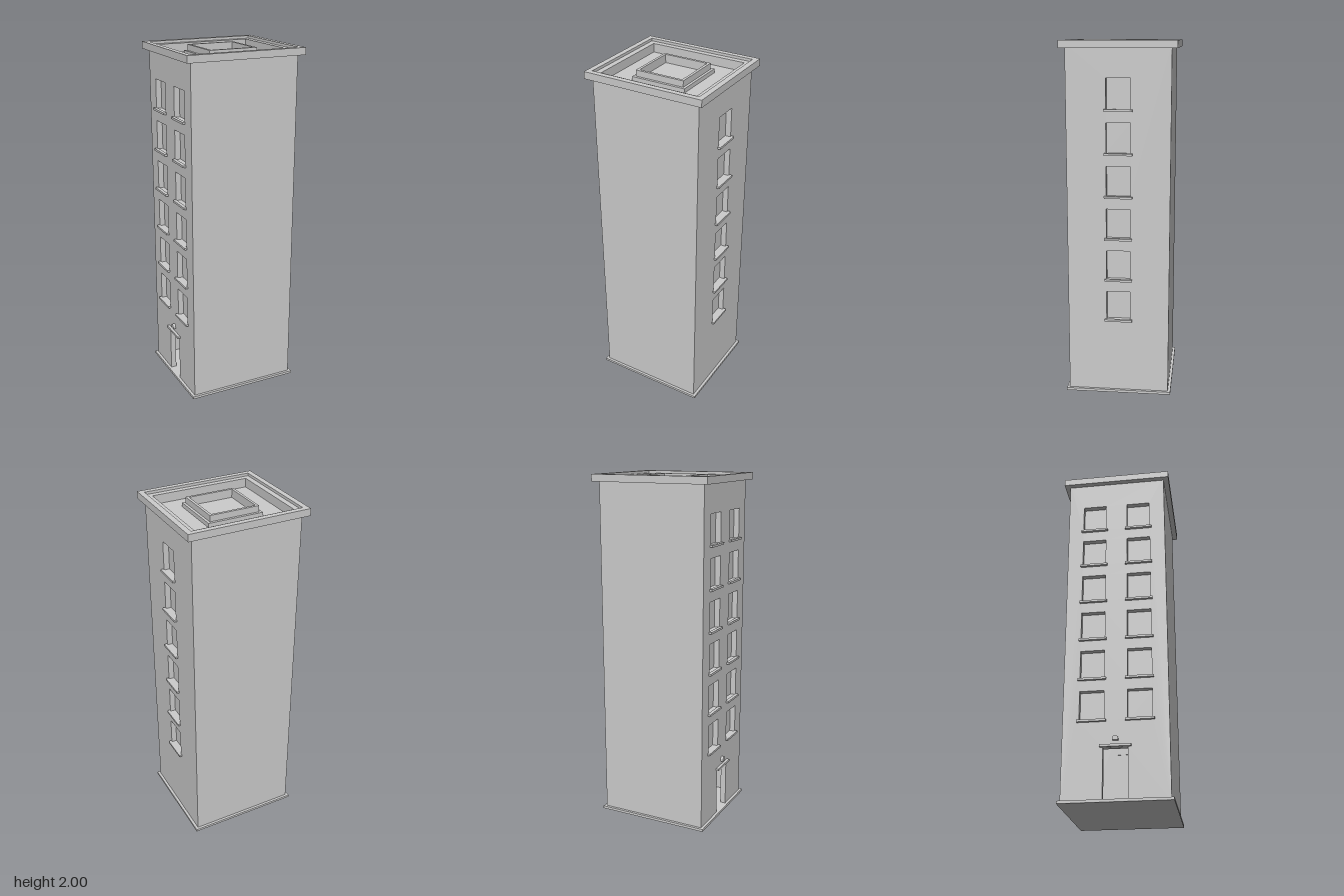
import * as THREE from 'three';

const HX = 0.317, HZ = 0.286, T = 0.032;   // wall half-sizes and thickness
const WALL_TOP = 1.985, BASE_TOP = 0.015;
const FLOORS = 6, FIRST = 0.442, PITCH = 0.2385, WIN_W = 0.134, WIN_H = 0.168;
const grey = new THREE.MeshStandardMaterial({ color: 0xcccccc, flatShading: true });

function add(parent, name, geo, x = 0, y = 0, z = 0) {
  const m = new THREE.Mesh(geo, grey);
  m.name = name;
  m.position.set(x, y, z);
  parent.add(m);
  return m;
}

// box given by its centre in x and z and its lower and upper heights
function block(parent, name, w, d, y0, y1, x = 0, z = 0) {
  return add(parent, name, new THREE.BoxGeometry(w, y1 - y0, d), x, (y0 + y1) / 2, z);
}

function rect(Type, x0, y0, x1, y1) {
  const p = new Type();
  p.moveTo(x0, y0);
  p.lineTo(x1, y0);
  p.lineTo(x1, y1);
  p.lineTo(x0, y1);
  p.closePath();
  return p;
}

// rectangular frame lying flat, from outer and inner half-sizes
function ring(parent, name, ox, oz, ix, iz, y0, y1) {
  const s = rect(THREE.Shape, -ox, -oz, ox, oz);
  s.holes.push(rect(THREE.Path, -ix, -iz, ix, iz));
  const g = new THREE.ExtrudeGeometry(s, { depth: y1 - y0, bevelEnabled: false });
  g.rotateX(-Math.PI / 2);
  return add(parent, name, g, 0, y0, 0);
}

// side wall with window columns; local z points outward, z = 0 is the outer face
function sideWall(name, columns, hasDoor) {
  const side = new THREE.Group();
  side.name = name;
  const s = rect(THREE.Shape, -HZ, 0, HZ, WALL_TOP);
  for (const u of columns) {
    for (let i = 0; i < FLOORS; i++) {
      const y = FIRST + i * PITCH;
      s.holes.push(rect(THREE.Path, u - WIN_W / 2, y, u + WIN_W / 2, y + WIN_H));
      block(side, 'windowPane', WIN_W + 0.02, 0.006, y - 0.01, y + WIN_H + 0.01, u, -T - 0.003);
      block(side, 'windowSill', 0.156, 0.02, y - 0.009, y + 0.003, u, 0.006);
    }
  }
  if (hasDoor) {
    s.holes.push(rect(THREE.Path, -0.067, BASE_TOP, 0.067, 0.29));
    block(side, 'doorCanopy', 0.166, 0.02, 0.291, 0.304, 0, 0.006);
    // round-topped lamp above the door
    const lamp = new THREE.Shape();
    lamp.moveTo(-0.015, 0);
    lamp.lineTo(0.015, 0);
    lamp.lineTo(0.015, 0.011);
    lamp.absarc(0, 0.011, 0.015, 0, Math.PI, false);
    lamp.closePath();
    const lampGeo = new THREE.ExtrudeGeometry(lamp, { depth: 0.016, bevelEnabled: false, curveSegments: 6 });
    add(side, 'doorLamp', lampGeo, 0, 0.325, 0);
  }
  add(side, 'wall', new THREE.ExtrudeGeometry(s, { depth: T, bevelEnabled: false }), 0, 0, -T);
  return side;
}

export function createModel() {
  const model = new THREE.Group();
  model.name = 'apartmentTower';

  // foundation, which is also the ground floor inside
  block(model, 'basePlate', 0.666, 0.602, 0, BASE_TOP);

  // plain front and back walls
  for (const s of [1, -1]) {
    block(model, s > 0 ? 'frontWall' : 'backWall', 2 * (HX - T), T, 0, WALL_TOP, 0, s * (HZ - T / 2));
  }

  // window walls
  const left = sideWall('leftWindowWall', [0], false);
  left.rotation.y = Math.PI / 2;
  left.position.x = HX;
  const right = sideWall('rightEntranceWall', [-0.13, 0.13], true);
  right.rotation.y = -Math.PI / 2;
  right.position.x = -HX;
  model.add(left, right);

  // roof with cornice
  block(model, 'roofSlab', 2 * (HX - T), 2 * (HZ - T), 1.9, 1.935);
  ring(model, 'cornice', 0.348, 0.317, HX, HZ, 1.96, 2);

  // roof hatch: low plinth and raised rim round a sunken top
  ring(model, 'hatchPlinth', 0.158, 0.158, 0.128, 0.128, 1.93, 1.958);
  ring(model, 'hatchRim', 0.143, 0.143, 0.128, 0.128, 1.958, 1.992);
  block(model, 'hatchFloor', 0.257, 0.257, 1.93, 1.945);

  return model;
}
